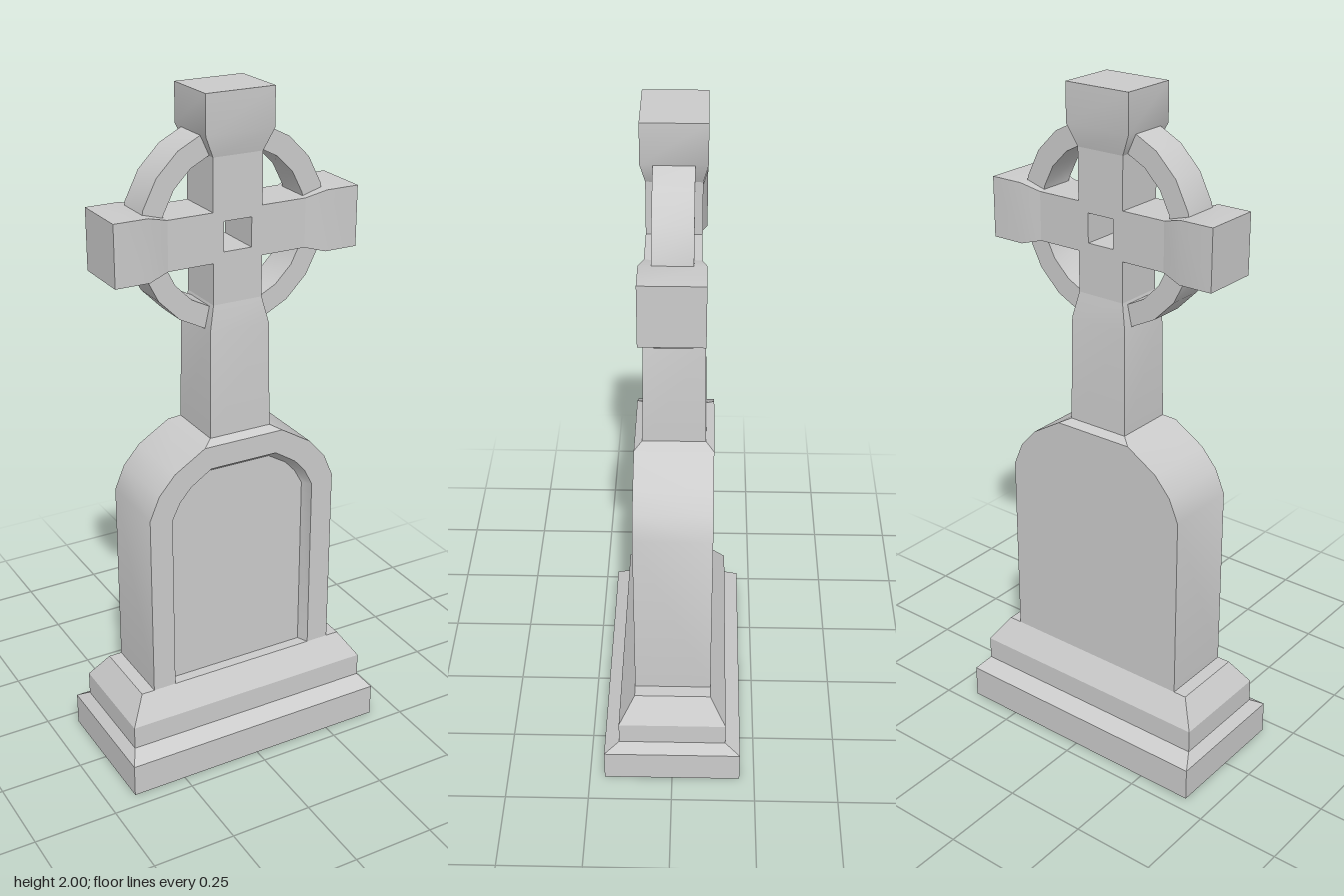
import * as THREE from 'three';
import { toCreasedNormals } from 'three/addons/utils/BufferGeometryUtils.js';

const CROSS_Y = 1.613; // height of the cross centre
const ARM_Z = 0.073;   // half thickness of the narrow arms

const stone = new THREE.MeshStandardMaterial({ color: 0xcccccc });
const shellStone = new THREE.MeshStandardMaterial({ color: 0xcccccc, side: THREE.DoubleSide });

// Skin a run of closed rings (equal point counts), with optional end caps
function loft(rings, capFirst, capLast) {
  const pos = [];
  const tri = (a, b, c) => pos.push(...a, ...b, ...c);
  const n = rings[0].length;
  for (let r = 0; r < rings.length - 1; r++) {
    const a = rings[r], b = rings[r + 1];
    for (let i = 0; i < n; i++) {
      const j = (i + 1) % n;
      tri(a[i], a[j], b[j]);
      tri(a[i], b[j], b[i]);
    }
  }
  const first = rings[0], last = rings[rings.length - 1];
  for (let i = 1; i < n - 1; i++) {
    if (capFirst) tri(first[0], first[i + 1], first[i]);
    if (capLast) tri(last[0], last[i], last[i + 1]);
  }
  const g = new THREE.BufferGeometry();
  g.setAttribute('position', new THREE.Float32BufferAttribute(pos, 3));
  return toCreasedNormals(g, 0.5);
}

// Rectangular sections [height, half width, half depth] stacked along y
function stack(sections, capLast) {
  return loft(sections.map(([y, w, d]) => [[w, y, d], [w, y, -d], [-w, y, -d], [-w, y, d]]), false, capLast);
}

// Mirror the right half of an arch into a full ring at depth z
function archRing(half, z) {
  const left = half.map(([x, y]) => [-x, y]).reverse();
  return [...half, ...left].map(([x, y]) => [x, y, z]);
}

export function createModel() {
  const model = new THREE.Group();
  const add = (name, geometry, material = stone) => {
    const mesh = new THREE.Mesh(geometry, material);
    mesh.name = name;
    model.add(mesh);
    return mesh;
  };

  // Stepped plinth, hollow underneath
  add('plinth', stack([
    [0, 0.415, 0.205], [0.1, 0.415, 0.205], [0.13, 0.39, 0.16],
    [0.2, 0.39, 0.16], [0.275, 0.34, 0.113],
  ], true), shellStone);

  // Arched tablet with a bevelled recess in its front
  const outline = [[0.3, 0.275], [0.3, 0.84], [0.27, 0.91], [0.22, 0.967], [0.125, 1.025]];
  const recessEdge = [[0.23, 0.275], [0.23, 0.825], [0.205, 0.875], [0.17, 0.915], [0.105, 0.957]];
  const recessFloor = [[0.215, 0.275], [0.215, 0.82], [0.19, 0.865], [0.158, 0.9], [0.1, 0.935]];
  add('tablet', loft([
    archRing(outline, -0.113), archRing(outline, 0.113),
    archRing(recessEdge, 0.113), archRing(recessFloor, 0.08),
  ], true, true));

  // Shaft with chamfered foot and tapered neck
  add('shaft', stack([
    [1.025, 0.125, 0.113], [1.04, 0.096, 0.09], [1.35, 0.092, 0.085], [1.425, 0.075, ARM_Z],
  ], false));

  // Narrow middle of the cross with a square hole through it
  const w = 0.075, h = 0.07, reach = 0.21, up = 0.217, down = -0.188;
  const plus = new THREE.Shape([
    [w, down], [w, -h], [reach, -h], [reach, h], [w, h], [w, up],
    [-w, up], [-w, h], [-reach, h], [-reach, -h], [-w, -h], [-w, down],
  ].map(([x, y]) => new THREE.Vector2(x, y)));
  const q = 0.042;
  plus.holes.push(new THREE.Path([
    [-q, -q], [-q, q], [q, q], [q, -q],
  ].map(([x, y]) => new THREE.Vector2(x, y))));
  const centre = new THREE.ExtrudeGeometry(plus, { depth: ARM_Z * 2, bevelEnabled: false });
  add('crossCentre', centre.translate(0, CROSS_Y, -ARM_Z));

  // Flared blocks ending the three free arms
  add('topBlock', stack([
    [up, w, ARM_Z], [0.277, 0.103, 0.086], [2 - CROSS_Y, 0.103, 0.086],
  ], true)).position.y = CROSS_Y;
  for (const [name, side] of [['leftBlock', 1], ['rightBlock', -1]]) {
    const block = add(name, stack([
      [reach, h, ARM_Z], [0.27, 0.087, 0.086], [0.37, 0.087, 0.086],
    ], true));
    block.position.y = CROSS_Y;
    block.rotation.z = -side * Math.PI / 2;
  }

  // Ring joining the arms
  const rIn = 0.222, rOut = 0.284, rz = 0.053;
  const profile = [[rIn, -rz], [rOut, -rz], [rOut, rz], [rIn, rz], [rIn, -rz]]
    .map(([x, y]) => new THREE.Vector2(x, y));
  const ring = add('ring', toCreasedNormals(new THREE.LatheGeometry(profile, 20), 0.5));
  ring.rotation.x = Math.PI / 2;
  ring.position.y = 1.624;

  return model;
}
